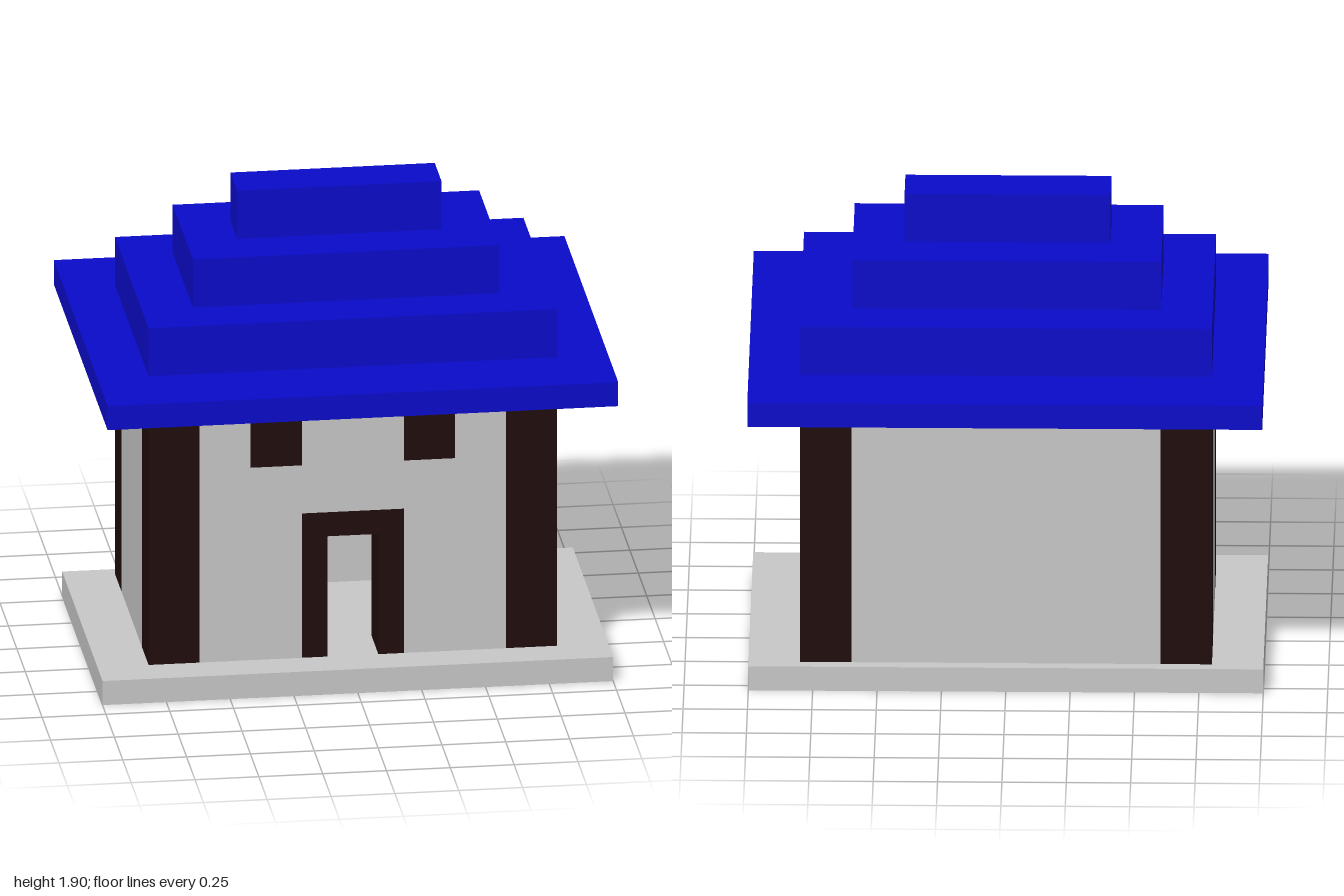
import * as THREE from 'three';

export function createModel() {
  const model = new THREE.Group();
  model.name = 'house';

  const material = (name, color) => {
    const m = new THREE.MeshStandardMaterial({ color });
    m.name = name;
    return m;
  };
  const stone = material('paleStone', 0xc9c9c9);
  const wood = material('darkWood', 0x210c0c);
  const roofBlue = material('roofBlue', 0x0b0bcc);

  const add = (name, geometry, mat) => {
    const mesh = new THREE.Mesh(geometry, mat);
    mesh.name = name;
    model.add(mesh);
    return mesh;
  };
  // Box given by its size, centre x and z, and bottom height
  const box = (name, mat, [w, h, d], [x, y, z]) =>
    add(name, new THREE.BoxGeometry(w, h, d).translate(x, y + h / 2, z), mat);
  const outline = (points) =>
    new THREE.Shape(points.map(([x, y]) => new THREE.Vector2(x, y)));
  // Front parts share the wall's thickness, from z = 0.3 to z = 0.5
  const frontPanel = (shape) =>
    new THREE.ExtrudeGeometry(shape, { depth: 0.2, bevelEnabled: false }).translate(0, 0, 0.3);

  // Ground slab, a little deeper in front of the door
  box('base', stone, [2, 0.1, 1.2], [0, 0, 0.05]);

  // Corner posts
  for (const x of [-0.7, 0.7])
    for (const z of [-0.4, 0.4])
      box('cornerPost', wood, [0.2, 1.1, 0.2], [x, 0.1, z]);

  // Back and side walls around a hollow room
  box('backWall', stone, [1.2, 1.1, 0.2], [0, 0.1, -0.4]);
  for (const [name, x] of [['leftWall', 0.7], ['rightWall', -0.7]])
    box(name, stone, [0.2, 1.1, 0.6], [x, 0.1, 0]);

  // Front wall, cut out for the door frame and windows
  const wall = outline([
    [-0.6, 0.1], [-0.2, 0.1], [-0.2, 0.7], [0.2, 0.7],
    [0.2, 0.1], [0.6, 0.1], [0.6, 1.2], [-0.6, 1.2],
  ]);
  for (const x of [-0.3, 0.3]) {
    wall.holes.push(outline([
      [x - 0.1, 0.9], [x - 0.1, 1.1], [x + 0.1, 1.1], [x + 0.1, 0.9],
    ]));
    box('window', wood, [0.2, 0.2, 0.2], [x, 0.9, 0.4]);
  }
  add('frontWall', frontPanel(wall), stone);

  // Door frame with an open doorway
  add('doorFrame', frontPanel(outline([
    [-0.2, 0.1], [-0.1, 0.1], [-0.1, 0.6], [0.1, 0.6],
    [0.1, 0.1], [0.2, 0.1], [0.2, 0.7], [-0.2, 0.7],
  ])), wood);

  // Stepped roof: wide eaves and three shrinking tiers
  box('roofEaves', roofBlue, [2, 0.1, 1.6], [0, 1.2, 0]);
  for (let i = 0; i < 3; i++)
    box('roofTier', roofBlue, [1.6 - 0.4 * i, 0.2, 1 - 0.4 * i], [0, 1.3 + 0.2 * i, 0]);

  return model;
}
